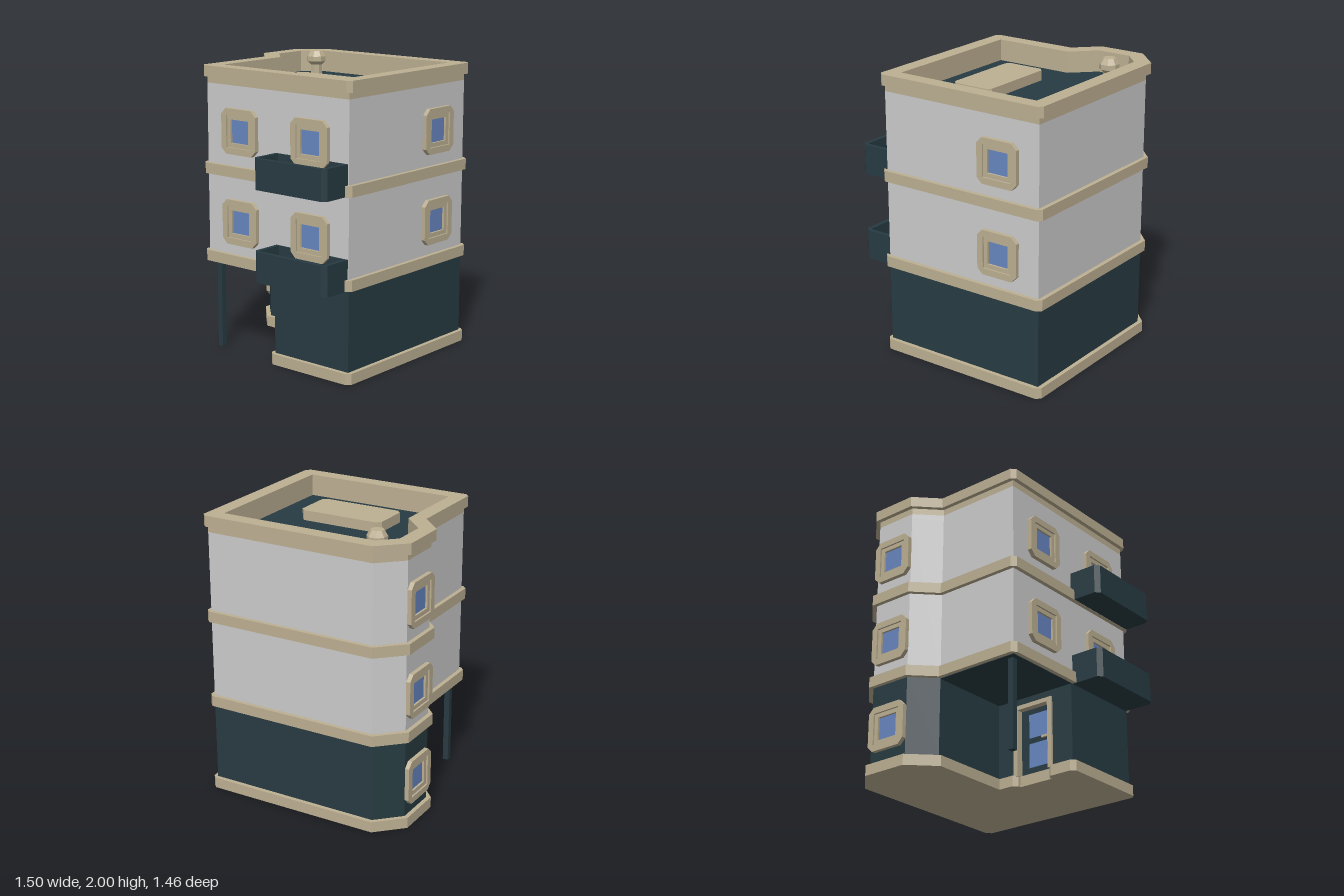
import * as THREE from 'three';

const mat = (color, extra = {}) => new THREE.MeshStandardMaterial({ color, ...extra });
const grey = mat(0xcccccc);
const tan = mat(0xbcaf92);
const tanFlat = mat(0xbcaf92, { flatShading: true });
const dark = mat(0x273b42);
const glass = mat(0x6786c0);

// Footprints as [x, z] corners, running clockwise when seen from above
const bay = [[0.10, -0.545], [0.255, -0.70], [0.562, -0.70], [0.718, -0.54], [0.718, 0.697], [-0.52, 0.697]];
const upperPlan = [[-0.52, -0.545], ...bay];
const groundPlan = [...bay, [-0.52, 0.06], [-0.36, 0.06], [-0.36, 0.11], [-0.04, 0.11], [-0.04, 0.06], [0.10, 0.06]];

const neighbours = (pts, i) => [pts[(i + pts.length - 1) % pts.length], pts[i], pts[(i + 1) % pts.length]];
const unit = (a, b) => {
  const l = Math.hypot(b[0] - a[0], b[1] - a[1]);
  return [(b[0] - a[0]) / l, (b[1] - a[1]) / l];
};

// Mitred offset of a footprint, outward for positive d
function offset(pts, d) {
  return pts.map((_, i) => {
    const [a, p, b] = neighbours(pts, i);
    const u = unit(a, p), v = unit(p, b);
    const k = d / (1 + u[0] * v[0] + u[1] * v[1]);
    return [p[0] + k * (u[1] + v[1]), p[1] - k * (u[0] + v[0])];
  });
}

// Cuts the convex right-angled corners
function chamfer(pts, c) {
  return pts.flatMap((_, i) => {
    const [a, p, b] = neighbours(pts, i);
    const u = unit(a, p), v = unit(p, b);
    if (u[0] * v[1] - u[1] * v[0] < 0.9) return [p];
    return [[p[0] - u[0] * c, p[1] - u[1] * c], [p[0] + v[0] * c, p[1] + v[1] * c]];
  });
}

const rect = (x0, x1, z0, z1) => [[x0, z0], [x1, z0], [x1, z1], [x0, z1]];

// Outline runs counter-clockwise and the hole clockwise, so all sides face outward
function toShape(pts, hole) {
  const vec = (list) => list.map(([x, z]) => new THREE.Vector2(x, -z));
  const s = new THREE.Shape(vec(pts).reverse());
  if (hole) s.holes.push(new THREE.Path(vec(hole)));
  return s;
}

function add(parent, name, geometry, material) {
  const m = new THREE.Mesh(geometry, material);
  m.name = name;
  parent.add(m);
  return m;
}

// Upright prism over a footprint, optionally hollow
function prism(parent, name, pts, y0, y1, material, hole) {
  const g = new THREE.ExtrudeGeometry(toShape(pts, hole), { depth: y1 - y0, bevelEnabled: false });
  g.rotateX(-Math.PI / 2).translate(0, y0, 0);
  return add(parent, name, g, material);
}

function box(parent, name, size, pos, material) {
  const m = add(parent, name, new THREE.BoxGeometry(...size), material);
  m.position.set(...pos);
  return m;
}

// Square frame lying in the XY plane
function frame(parent, name, outer, holeHalf, depth) {
  const hole = rect(-holeHalf, holeHalf, -holeHalf, holeHalf);
  const g = new THREE.ExtrudeGeometry(toShape(outer, hole), { depth, bevelEnabled: false });
  return add(parent, name, g, tan);
}

function addWindow(parent, x, y, z, turn) {
  const w = new THREE.Group();
  w.name = 'window';
  frame(w, 'outerFrame', chamfer(rect(-0.155, 0.155, -0.155, 0.155), 0.04), 0.11, 0.03);
  frame(w, 'innerFrame', rect(-0.11, 0.11, -0.11, 0.11), 0.08, 0.018);
  box(w, 'pane', [0.16, 0.16, 0.006], [0, 0, 0], glass);
  w.position.set(x, y, z);
  w.rotation.y = turn;
  parent.add(w);
}

function addBalcony(parent, y) {
  const b = new THREE.Group();
  b.name = 'balcony';
  const outline = [[-0.52, 0.078], [-0.52, 0.69], [-0.72, 0.69], [-0.75, 0.66], [-0.75, 0.108], [-0.72, 0.078]];
  const inner = rect(-0.72, -0.53, 0.106, 0.662);
  prism(b, 'balconyBase', outline, y, y + 0.05, dark);
  prism(b, 'balconyWall', outline, y + 0.05, y + 0.208, dark, inner);
  prism(b, 'balconyFloor', inner, y + 0.045, y + 0.062, tan);
  parent.add(b);
}

function addDoor(parent) {
  const d = new THREE.Group();
  d.name = 'door';
  box(d, 'doorPanel', [0.26, 0.5, 0.016], [0, 0.31, 0.008], dark);
  for (const s of [-1, 1]) box(d, 'doorJamb', [0.035, 0.49, 0.065], [s * 0.143, 0.315, 0.0325], tan);
  box(d, 'doorHead', [0.32, 0.03, 0.065], [0, 0.555, 0.0325], tan);
  for (const y of [0.205, 0.415]) box(d, 'doorPane', [0.15, 0.17, 0.006], [0.015, y, 0.017], glass);
  box(d, 'doorHandle', [0.05, 0.016, 0.014], [0.085, 0.31, 0.042], tan);
  box(d, 'handleStem', [0.014, 0.016, 0.03], [0.104, 0.31, 0.028], tan);
  d.position.set(-0.2, 0, 0.11);
  d.rotation.y = Math.PI;
  parent.add(d);
}

export function createModel() {
  const building = new THREE.Group();
  building.name = 'building';
  const trim = chamfer(offset(upperPlan, 0.03), 0.03);
  const roofEdge = offset(upperPlan, -0.078);

  // Ground floor with the open porch corner
  prism(building, 'plinth', chamfer(offset(groundPlan, 0.03), 0.03), 0, 0.075, tan);
  prism(building, 'groundWalls', groundPlan, 0.075, 0.625, dark);
  box(building, 'doorLintel', [0.32, 0.06, 0.05], [-0.2, 0.597, 0.085], dark);
  box(building, 'porchPost', [0.04, 0.625, 0.04], [-0.465, 0.3125, -0.49], dark);
  prism(building, 'porchCeiling', upperPlan, 0.621, 0.64, dark);
  addDoor(building);

  // Upper floors and floor bands
  prism(building, 'upperWalls', upperPlan, 0.64, 1.825, grey);
  prism(building, 'wallTop', upperPlan, 1.825, 1.86, grey, offset(upperPlan, -0.05));
  for (const y of [0.625, 1.24]) prism(building, 'floorBand', trim, y, y + 0.075, tan);

  // Roof and parapet
  prism(building, 'roofDeck', offset(upperPlan, -0.06), 1.82, 1.83, dark);
  prism(building, 'parapetLining', offset(upperPlan, -0.04), 1.825, 1.86, tan, roofEdge);
  prism(building, 'parapetWall', upperPlan, 1.86, 1.905, tan, roofEdge);
  prism(building, 'parapetCap', trim, 1.905, 1.98, tan, roofEdge);
  prism(building, 'roofHatch', chamfer(rect(-0.21, 0.097, -0.235, 0.38), 0.03), 1.83, 1.9, tan);
  const ventProfile = [[0.042, 1.83], [0.042, 1.9], [0.069, 1.925], [0.069, 1.96], [0.045, 2.0], [0, 2.0]];
  const vent = add(building, 'roofVent',
    new THREE.LatheGeometry(ventProfile.map((p) => new THREE.Vector2(...p)), 8, Math.PI / 8), tanFlat);
  vent.position.set(0.489, 0, -0.44);

  // Windows and balconies
  for (const y of [0.93, 1.553]) {
    addWindow(building, 0.408, y, 0.697, 0);
    addWindow(building, -0.52, y, -0.235, -Math.PI / 2);
    addWindow(building, -0.52, y, 0.385, -Math.PI / 2);
  }
  for (const y of [0.31, 0.93, 1.553]) addWindow(building, 0.4085, y, -0.70, Math.PI);
  for (const y of [0.623, 1.242]) addBalcony(building, y);

  return building;
}
